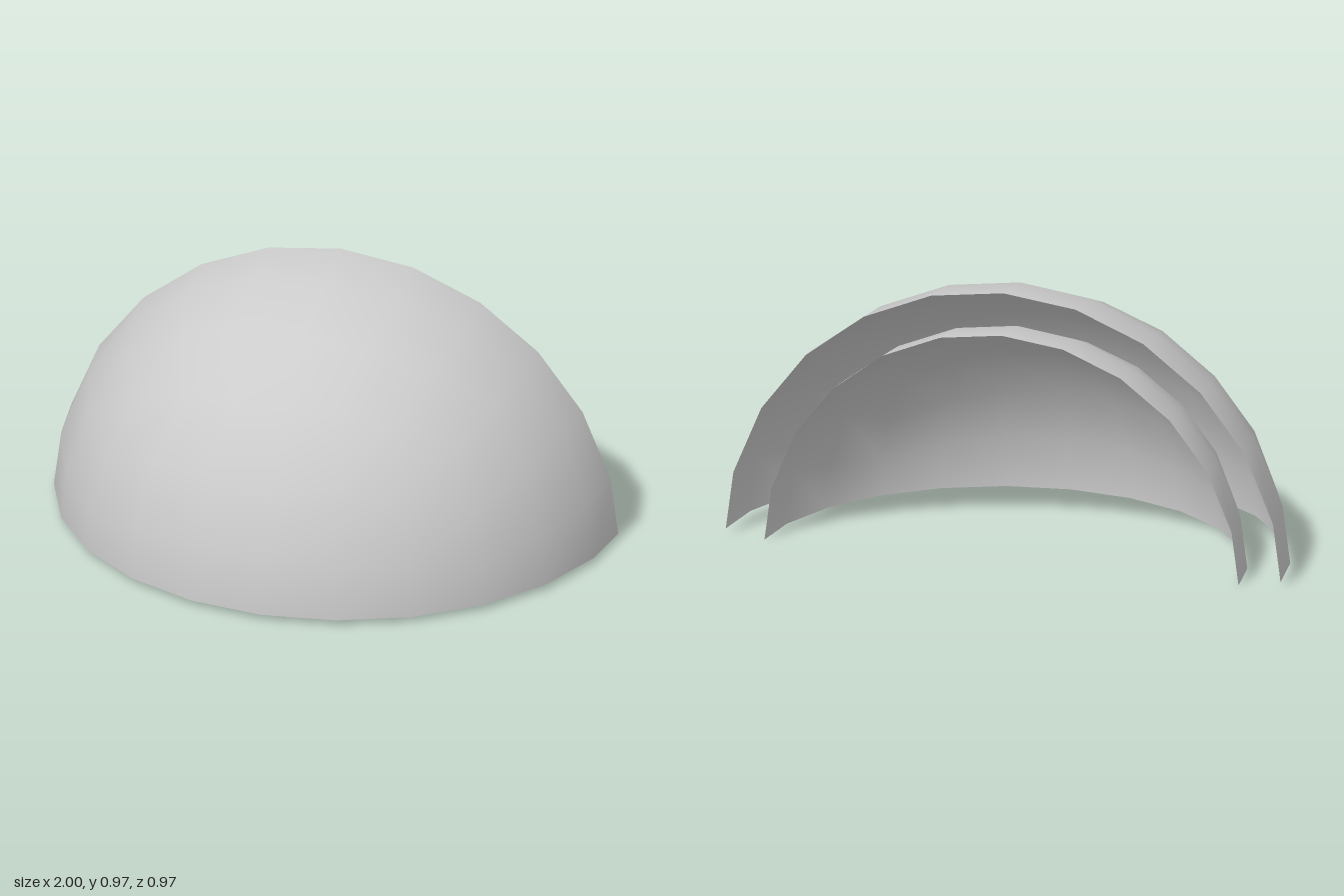
import * as THREE from 'three';

const material = new THREE.MeshStandardMaterial({ color: 0xcccccc, side: THREE.DoubleSide });

// Quarter of a rounded cube-sphere, open at the back and below.
// The rows on its two rims sit at heights cutY and cutZ, on the chords of the first facets.
function quarterDome(name, radius, cutY, cutZ) {
  const geo = new THREE.BoxGeometry(2, 2, 2, 6, 6, 6);
  const pos = geo.attributes.position;
  const nor = geo.attributes.normal;
  const box = pos.clone();
  const v = new THREE.Vector3();
  const bend = (t) => Math.tan(t * Math.PI / 4);
  // how far a chord of 15 degrees has closed in at a given height
  const chord = (h) => 1 - (h / radius) * Math.tan(Math.PI / 24);

  for (let i = 0; i < pos.count; i++) {
    v.fromBufferAttribute(box, i);
    const onY = Math.abs(v.y) < 1e-4;
    const onZ = Math.abs(v.z) < 1e-4;
    v.set(bend(v.x), bend(v.y), bend(v.z)).setLength(radius);
    if (onY) v.multiplyScalar(chord(cutY));
    if (onZ) v.multiplyScalar(chord(cutZ));
    if (onY) v.y = cutY;
    if (onZ) v.z = cutZ;
    pos.setXYZ(i, v.x, v.y, v.z);
    v.normalize();
    nor.setXYZ(i, v.x, v.y, v.z);
  }

  // keep only the upper front quarter
  const source = geo.index.array;
  const kept = [];
  for (let i = 0; i < source.length; i += 3) {
    const tri = [source[i], source[i + 1], source[i + 2]];
    if (tri.every((k) => box.getY(k) > -1e-4 && box.getZ(k) > -1e-4)) kept.push(...tri);
  }
  geo.setIndex(kept);
  geo.clearGroups();

  const mesh = new THREE.Mesh(geo, material);
  mesh.name = name;
  mesh.position.set(0, -0.032, -0.522);
  return mesh;
}

export function createModel() {
  const group = new THREE.Group();
  group.name = 'doubleQuarterDome';
  group.add(quarterDome('outerShell', 1.0137, 0.052, 0.056));
  group.add(quarterDome('innerShell', 0.863, 0.032, 0.036));
  return group;
}
